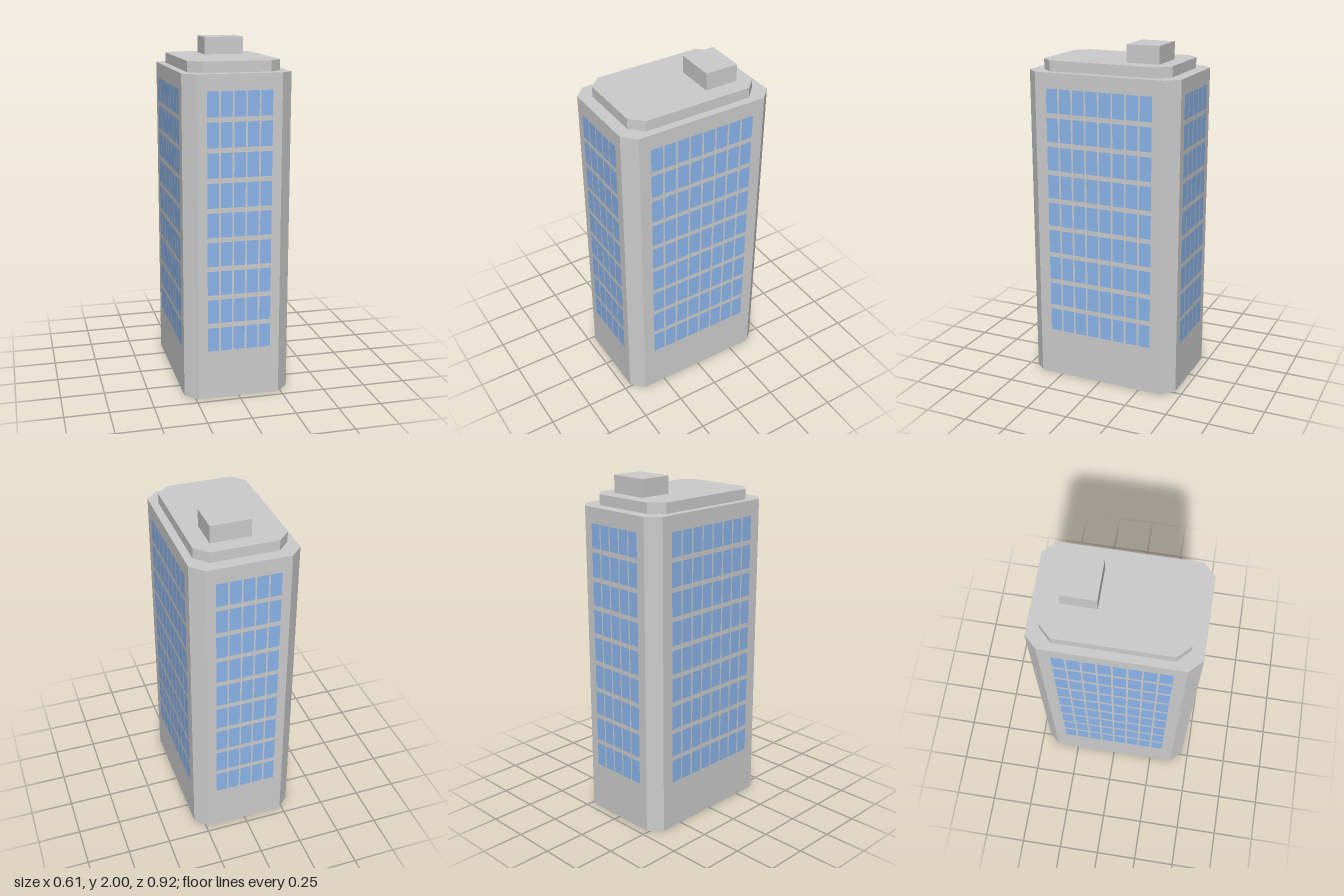
import * as THREE from 'three';

const grey = new THREE.MeshStandardMaterial({ color: 0xcccccc });
const glass = new THREE.MeshStandardMaterial({ color: 0x8ab4ea });

// Upright block with chamfered vertical corners
function chamferedBlock(name, halfX, halfZ, chamfer, bottom, height) {
  const shape = new THREE.Shape([
    [halfX, halfZ - chamfer], [halfX - chamfer, halfZ],
    [chamfer - halfX, halfZ], [-halfX, halfZ - chamfer],
    [-halfX, chamfer - halfZ], [chamfer - halfX, -halfZ],
    [halfX - chamfer, -halfZ], [halfX, chamfer - halfZ],
  ].map(([x, z]) => new THREE.Vector2(x, z)));
  const geometry = new THREE.ExtrudeGeometry(shape, { depth: height, bevelEnabled: false });
  geometry.rotateX(-Math.PI / 2);
  const mesh = new THREE.Mesh(geometry, grey);
  mesh.name = name;
  mesh.position.y = bottom;
  return mesh;
}

// Grid of flush window panes on one wall, turned about the tower axis
function windowGrid(name, columns, width, pitch, wallDistance, angle) {
  const grid = new THREE.Group();
  grid.name = name;
  const pane = new THREE.PlaneGeometry(width, 0.138);
  for (let row = 0; row < 9; row++) {
    for (let col = 0; col < columns; col++) {
      const mesh = new THREE.Mesh(pane, glass);
      mesh.name = 'windowPane';
      mesh.position.set((col - (columns - 1) / 2) * pitch, 0.355 + row * 0.1658, wallDistance + 0.001);
      grid.add(mesh);
    }
  }
  grid.rotation.y = angle;
  return grid;
}

export function createModel() {
  const tower = new THREE.Group();
  tower.name = 'officeTower';

  // Main shaft and stepped roof
  tower.add(chamferedBlock('towerBody', 0.305, 0.457, 0.07, 0, 1.84));
  tower.add(chamferedBlock('roofStep', 0.26, 0.388, 0.07, 1.84, 0.06));

  // Rooftop machine room, set toward the back
  const roofHut = new THREE.Mesh(new THREE.BoxGeometry(0.23, 0.1, 0.194), grey);
  roofHut.name = 'roofHut';
  roofHut.position.set(0.048, 1.95, -0.205);
  tower.add(roofHut);

  // Windows on all four walls
  tower.add(windowGrid('frontWindows', 5, 0.065, 0.0745, 0.457, 0));
  tower.add(windowGrid('backWindows', 5, 0.065, 0.0745, 0.457, Math.PI));
  tower.add(windowGrid('leftWindows', 8, 0.07, 0.081, 0.305, Math.PI / 2));
  tower.add(windowGrid('rightWindows', 8, 0.07, 0.081, 0.305, -Math.PI / 2));

  return tower;
}
